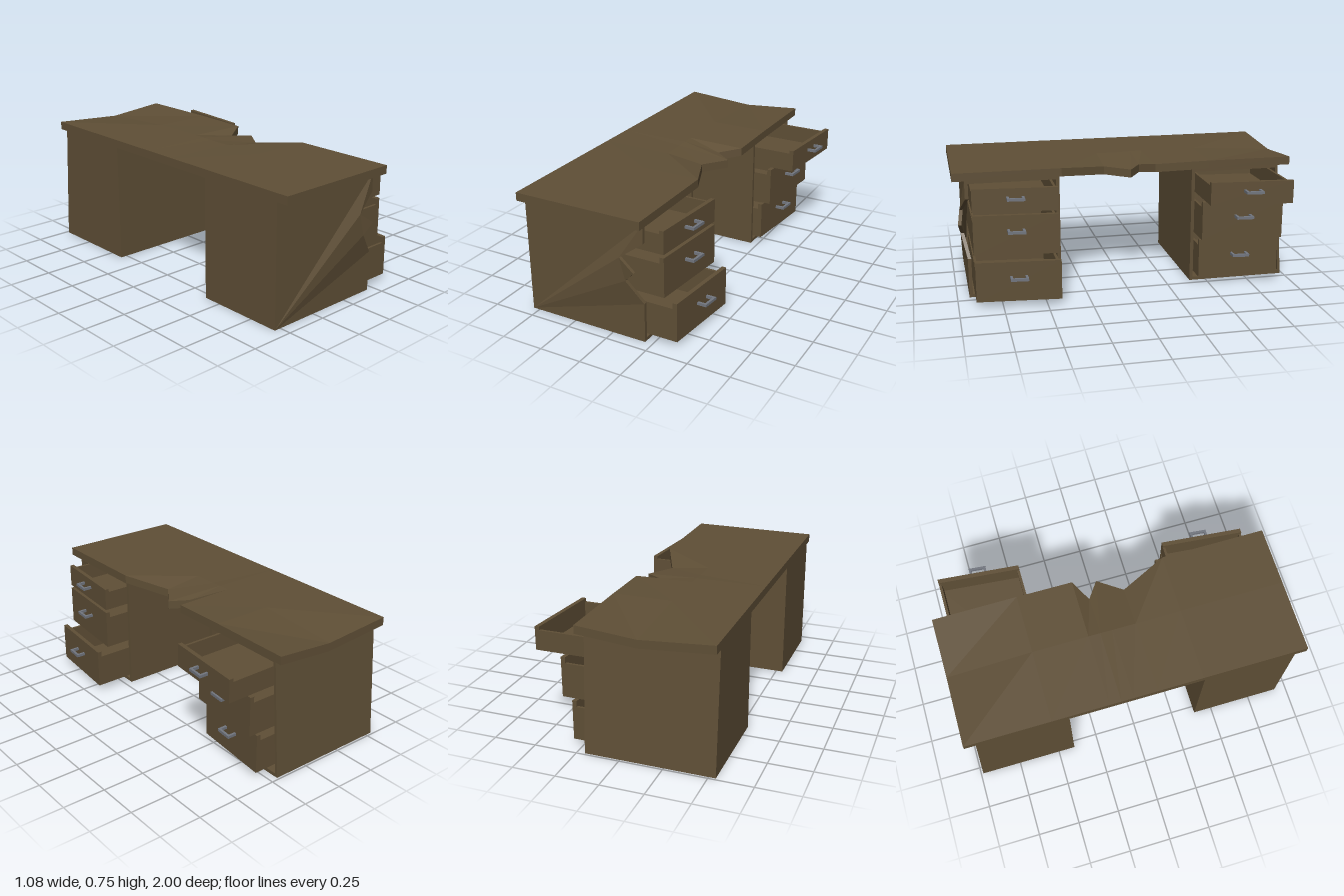
import * as THREE from 'three';

const wood = new THREE.MeshStandardMaterial({ color: 0x5f4f36 });
wood.name = 'brown wood';
const metal = new THREE.MeshStandardMaterial({ color: 0x72767f });
metal.name = 'grey metal';

// Adds a mesh after moving each vertex by an optional rule; normals are flat.
function add(parent, name, geometry, material, rule) {
  const g = geometry.index ? geometry.toNonIndexed() : geometry;
  if (rule) {
    const p = g.attributes.position, v = new THREE.Vector3();
    for (let i = 0; i < p.count; i++) {
      rule(v.fromBufferAttribute(p, i));
      p.setXYZ(i, v.x, v.y, v.z);
    }
  }
  g.computeVertexNormals();
  const mesh = new THREE.Mesh(g, material);
  mesh.name = name;
  parent.add(mesh);
}

// Box given by its lower and upper limits on each axis.
function span(x0, x1, y0, y1, z0, z1) {
  return new THREE.BoxGeometry(x1 - x0, y1 - y0, z1 - z0)
    .translate((x0 + x1) / 2, (y0 + y1) / 2, (z0 + z1) / 2);
}

// Desktop: cross-sections along z, sagging around the broken front edge.
function desktopGeometry() {
  // z, front x, sag at the front, sag in the middle
  const stations = [
    [-1, 0.23, 0, 0.03], [-0.5, 0.23, 0, 0], [-0.17, 0.23, 0.005, 0],
    [-0.10, 0.11, 0.03, 0], [-0.03, 0.21, 0.035, 0.004], [0.11, 0.11, 0.032, 0.004],
    [0.38, 0.23, 0, 0], [1, 0.23, 0, 0],
  ];
  const rings = stations.map(([z, x, f, m]) => [
    [-0.54, 0.75, z], [-0.12, 0.75 - m, z], [x, 0.75 - f, z],
    [x, 0.702 - f, z], [-0.12, 0.702 - m, z], [-0.54, 0.702, z],
  ]);
  const pos = [];
  const quad = (a, b, c, d) => pos.push(...a, ...b, ...c, ...a, ...c, ...d);
  for (let i = 0; i < rings.length - 1; i++) {
    const r = rings[i], s = rings[i + 1];
    for (let j = 0; j < 6; j++) {
      const k = (j + 1) % 6;
      quad(r[j], s[j], s[k], r[k]);
    }
  }
  const r = rings[0], s = rings[rings.length - 1];
  quad(r[0], r[1], r[4], r[5]);
  quad(r[1], r[2], r[3], r[4]);
  quad(s[5], s[4], s[1], s[0]);
  quad(s[4], s[3], s[2], s[1]);
  const g = new THREE.BufferGeometry();
  g.setAttribute('position', new THREE.Float32BufferAttribute(pos, 3));
  return g;
}

// Open drawer with a tall front and a bow handle, skewed in its slot.
function drawer(name, zc, front, y0, y1, bodyTop, handleY) {
  const group = new THREE.Group();
  group.name = name;
  const z0 = zc - 0.24, z1 = zc + 0.24, back = front - 0.68, t = 0.015;
  const skew = v => { v.x -= 0.094 * (v.z - zc); };
  const inner = front - 0.025;
  add(group, 'drawerFront', span(inner, front, y0, y1, z0, z1), wood, skew);
  add(group, 'drawerBottom', span(back, inner, y0, y0 + t, z0, z1), wood, skew);
  add(group, 'drawerBack', span(back, back + t, y0 + t, bodyTop, z0 + t, z1 - t), wood, skew);
  add(group, 'drawerSide', span(back, inner, y0 + t, bodyTop, z0, z0 + t), wood, skew);
  add(group, 'drawerSide', span(back, inner, y0 + t, bodyTop, z1 - t, z1), wood, skew);

  const h0 = handleY - 0.008, h1 = handleY + 0.008, reach = front + 0.055;
  add(group, 'handleBar', span(reach - 0.014, reach, h0, h1, zc - 0.05, zc + 0.05), metal, skew);
  for (const s of [-1, 1]) {
    const z = zc + s * 0.043;
    add(group, 'handlePost', span(front, reach - 0.014, h0, h1, z - 0.007, z + 0.007), metal, skew);
  }
  return group;
}

export function createModel() {
  const model = new THREE.Group();
  model.name = 'brokenDesk';
  add(model, 'desktop', desktopGeometry(), wood);

  // Cabinet with the splintered side
  const near = new THREE.Group();
  near.name = 'splinteredCabinet';
  const side = new THREE.Shape([
    [-0.54, 0], [0.205, 0], [0.205, 0.235], [0.165, 0.29], [0.11, 0.365],
    [0.17, 0.43], [0.075, 0.495], [0.205, 0.59], [0.205, 0.702], [-0.54, 0.702],
  ].map(p => new THREE.Vector2(...p)));
  const sideGeometry = new THREE.ExtrudeGeometry(side, { depth: 0.02, bevelEnabled: false })
    .translate(0, 0, 0.91);
  add(near, 'splinteredSide', sideGeometry, wood, v => {
    if (v.x > 0 && v.x < 0.2) v.z += 0.045 * Math.max(0, 1 - Math.abs(v.y - 0.43) / 0.19);
  });
  add(near, 'innerSide', span(-0.54, 0.205, 0, 0.702, 0.39, 0.41), wood);
  add(near, 'cabinetBack', span(-0.54, -0.52, 0.02, 0.68, 0.41, 0.91), wood);
  add(near, 'cabinetBottom', span(-0.54, 0.205, 0, 0.02, 0.41, 0.91), wood);
  add(near, 'cabinetTop', span(-0.54, 0.205, 0.68, 0.702, 0.41, 0.91), wood);
  model.add(near);

  // Cabinet whose outer side leans outwards at the foot
  const far = new THREE.Group();
  far.name = 'leaningCabinet';
  const lean = v => { if (v.z < -0.9) v.z -= 0.052 * (1 - v.y / 0.7); };
  add(far, 'leaningSide', span(-0.54, 0.205, 0, 0.702, -0.935, -0.92), wood, lean);
  add(far, 'innerSide', span(-0.54, 0.205, 0, 0.702, -0.42, -0.40), wood);
  add(far, 'cabinetBack', span(-0.54, -0.52, 0.02, 0.68, -0.92, -0.42), wood, lean);
  add(far, 'cabinetBottom', span(-0.54, 0.205, 0, 0.02, -0.92, -0.42), wood, lean);
  add(far, 'cabinetTop', span(-0.54, 0.205, 0.68, 0.702, -0.92, -0.42), wood, lean);
  model.add(far);

  // Drawers: name, bottom, top of front, top of body, handle height, near and far front x
  const rows = [
    ['topDrawer', 0.54, 0.675, 0.655, 0.622, 0.333, 0.478],
    ['middleDrawer', 0.287, 0.52, 0.485, 0.431, 0.333, 0.333],
    ['bottomDrawer', 0.037, 0.27, 0.235, 0.18, 0.408, 0.278],
  ];
  for (const [name, y0, y1, body, handleY, nearX, farX] of rows) {
    model.add(drawer(name, 0.66, nearX, y0, y1, body, handleY));
    model.add(drawer(name, -0.68, farX, y0, y1, body, handleY));
  }
  return model;
}
